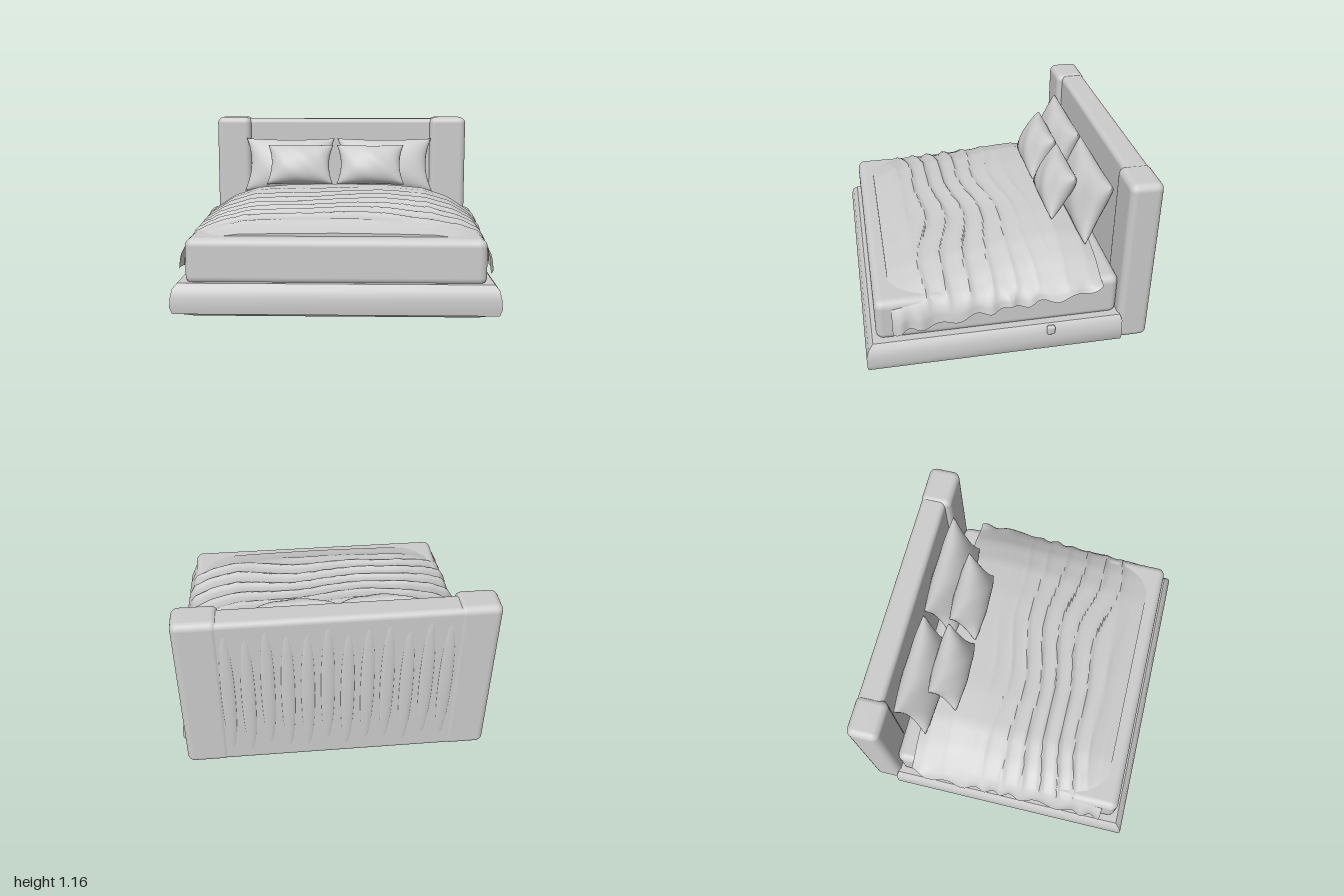
import * as THREE from 'three';
import { RoundedBoxGeometry } from 'three/addons/geometries/RoundedBoxGeometry.js';
import { mergeGeometries, mergeVertices, toCreasedNormals } from 'three/addons/utils/BufferGeometryUtils.js';

const grey = new THREE.MeshStandardMaterial({ color: 0xcccccc, side: THREE.DoubleSide });
grey.name = 'light grey fabric';

function add(group, name, geometry) {
  const mesh = new THREE.Mesh(geometry, grey);
  mesh.name = name;
  group.add(mesh);
  return mesh;
}

// Rounded block given by its two opposite corners
function block(group, name, [x0, y0, z0], [x1, y1, z1], radius) {
  const mesh = add(group, name, new RoundedBoxGeometry(x1 - x0, y1 - y0, z1 - z0, 4, radius));
  mesh.position.set((x0 + x1) / 2, (y0 + y1) / 2, (z0 + z1) / 2);
  return mesh;
}

// Sheet of nu by nv cells; fn(u, v) returns [x, y, z], and the face looks along du x dv
function sheet(nu, nv, fn) {
  const pos = [], index = [];
  for (let j = 0; j <= nv; j++) {
    for (let i = 0; i <= nu; i++) {
      pos.push(...fn(i / nu, j / nv));
      if (i < nu && j < nv) {
        const a = j * (nu + 1) + i, b = a + nu + 1;
        index.push(a, a + 1, b, a + 1, b + 1, b);
      }
    }
  }
  const geometry = new THREE.BufferGeometry();
  geometry.setAttribute('position', new THREE.Float32BufferAttribute(pos, 3));
  geometry.setIndex(index);
  geometry.computeVertexNormals();
  return geometry;
}

// Piecewise-linear lookup in [input, output] pairs with rising input
function lookup(table, t) {
  let i = 1;
  while (i < table.length - 1 && t > table[i][0]) i++;
  const [a, ya] = table[i - 1], [b, yb] = table[i];
  return THREE.MathUtils.lerp(ya, yb, THREE.MathUtils.clamp((t - a) / (b - a), 0, 1));
}

// Platform: rectangular rings of [y, half width, front z, back z]
function platformGeometry() {
  const rings = [
    [0, 0.87, 0.75, -0.64], [0.035, 0.93, 0.84, -0.69], [0.05, 0.975, 0.895, -0.71],
    [0.09, 0.99, 0.9, -0.71], [0.15, 0.985, 0.9, -0.71], [0.2, 0.975, 0.885, -0.71], [0.23, 0.95, 0.855, -0.7],
  ];
  const corners = rings.map(([y, w, f, b]) => [[w, y, f], [w, y, b], [-w, y, b], [-w, y, f]]);
  const pos = [];
  const quad = (a, b, c, d) => pos.push(...a, ...b, ...c, ...a, ...c, ...d);
  for (let r = 0; r < rings.length - 1; r++) {
    for (let k = 0; k < 4; k++) {
      const n = (k + 1) % 4;
      quad(corners[r][k], corners[r][n], corners[r + 1][n], corners[r + 1][k]);
    }
  }
  quad(...corners[0].slice().reverse());
  quad(...corners[rings.length - 1]);
  const geometry = new THREE.BufferGeometry();
  geometry.setAttribute('position', new THREE.Float32BufferAttribute(pos, 3));
  return toCreasedNormals(geometry, 0.6);
}

// Blanket draped over the mattress, with crosswise folds and rippled hems
function blanketGeometry() {
  const crown = [[-0.57, 0.62], [-0.5, 0.655], [-0.35, 0.685], [-0.2, 0.675], [0, 0.645], [0.2, 0.615],
    [0.4, 0.595], [0.55, 0.575], [0.64, 0.54], [0.73, 0.515]];
  const hem = [[-0.57, 0.47], [-0.4, 0.44], [0, 0.4], [0.3, 0.35], [0.73, 0.28]];
  const folds = [[-0.3, 0], [0, 0.6], [0.2, 1], [0.5, 0.9], [0.6, 0.1], [0.73, 0]];
  const nz = 110;
  return toCreasedNormals(sheet(nz, 56, (u, v) => {
    const end = u === 0 || u === 1;
    const z = THREE.MathUtils.lerp(-0.57, 0.73, THREE.MathUtils.clamp((u * nz - 1) / (nz - 2), 0, 1));
    const s = v * 2 - 1, side = Math.sign(s), a = Math.abs(s);
    const h = lookup(crown, z), e = lookup(hem, z);
    const k = THREE.MathUtils.clamp((h - 0.42) / 0.26, 0.3, 1);
    const flare = lookup([[-0.57, 0.0], [-0.4, 0.025], [0, 0.005], [0.73, -0.01]], z);
    const x = lookup([[0, 0], [0.5, 0.6], [0.65, 0.78], [0.8, 0.91], [0.9, 0.95 + flare / 2], [1, 0.962 + flare]], a);
    const shoulder = h - 0.17 * k;
    let y = lookup([[0, h], [0.3, h - 0.004], [0.5, h - 0.025 * k], [0.65, h - 0.085 * k],
      [0.8, shoulder], [0.9, (shoulder + e) / 2], [1, e]], a);
    const drape = THREE.MathUtils.smoothstep(a, 0.75, 1);
    const phase = z * 26 + 1.1 * Math.sin(side * x * 3.1 + z * 4) + 0.5 * Math.sin(side * x * 8);
    const ridge = Math.pow(1 - Math.abs(Math.sin(phase)), 2);
    y += (1 - drape) * lookup(folds, z) * (0.024 * ridge - 0.006);
    y += drape * 0.012 * Math.sin(z * 31 + side);
    const ripple = drape * 0.012 * Math.sin(z * 38 + 2 * Math.sin(z * 9) + side);
    if (end) y = Math.min(y, 0.48);
    return [side * (x + ripple), y, z];
  }), 0.7);
}

// Pillow with pinched corners: two bulging faces sharing a seam
function pillowGeometry(width, height, depth) {
  const face = (dir) => sheet(20, 16, (u, v) => {
    const p = Math.sin((u - 0.5) * Math.PI) * dir, q = Math.sin((v - 0.5) * Math.PI);
    const bulge = Math.pow((1 - p * p) * (1 - q * q), 0.42);
    const crease = 1 + 0.04 * Math.sin(p * 7 + q * 4);
    return [
      p * width / 2 * (1 - 0.13 * (1 - q * q)),
      q * height / 2 * (1 - 0.09 * (1 - p * p)),
      dir * depth / 2 * bulge * crease,
    ];
  });
  const merged = mergeVertices(mergeGeometries([face(1), face(-1)].map((g) => g.deleteAttribute('normal'))));
  return toCreasedNormals(merged, 0.9);
}

export function createModel() {
  const bed = new THREE.Group();
  bed.name = 'bed';

  add(bed, 'platform', platformGeometry());
  block(bed, 'mattress', [-0.91, 0.21, -0.69], [0.91, 0.495, 0.83], 0.05);
  add(bed, 'blanket', blanketGeometry());
  block(bed, 'sideTab', [0.965, 0.17, -0.27], [0.998, 0.23, -0.22], 0.012);

  // Headboard: recessed centre panel between two padded wings
  const headboard = new THREE.Group();
  headboard.name = 'headboard';
  bed.add(headboard);
  block(headboard, 'centrePanel', [-0.94, 0.035, -0.89], [0.94, 1.15, -0.725], 0.035);
  for (const side of [-1, 1]) {
    const [a, b] = side < 0 ? [-0.96, -0.7] : [0.68, 0.955];
    block(headboard, side < 0 ? 'rightWing' : 'leftWing', [a, 0.03, -0.895], [b, 1.16, -0.69], 0.045);
  }

  // Shallow upright pleats on the back
  const pleat = new THREE.SphereGeometry(1, 10, 14);
  for (let i = 0; i < 12; i++) {
    const mesh = add(headboard, 'backPleat', pleat);
    mesh.position.set(-0.66 + i * 0.12, 0.6 + 0.03 * Math.sin(i * 2.3), -0.887);
    mesh.scale.set(0.045, 0.47, 0.012);
  }

  // Two large pillows behind two small cushions: [name, x, y, z, width, height, depth, lean]
  const pillows = [
    ['rightPillow', -0.39, 0.805, -0.6, 0.68, 0.42, 0.2, -0.38],
    ['leftPillow', 0.33, 0.805, -0.6, 0.72, 0.42, 0.2, -0.38],
    ['rightCushion', -0.3, 0.82, -0.435, 0.49, 0.32, 0.19, -0.5],
    ['leftCushion', 0.22, 0.82, -0.435, 0.5, 0.32, 0.19, -0.5],
  ];
  for (const [name, x, y, z, w, h, d, lean] of pillows) {
    const mesh = add(bed, name, pillowGeometry(w, h, d));
    mesh.position.set(x, y, z);
    mesh.rotation.x = lean;
  }
  return bed;
}
